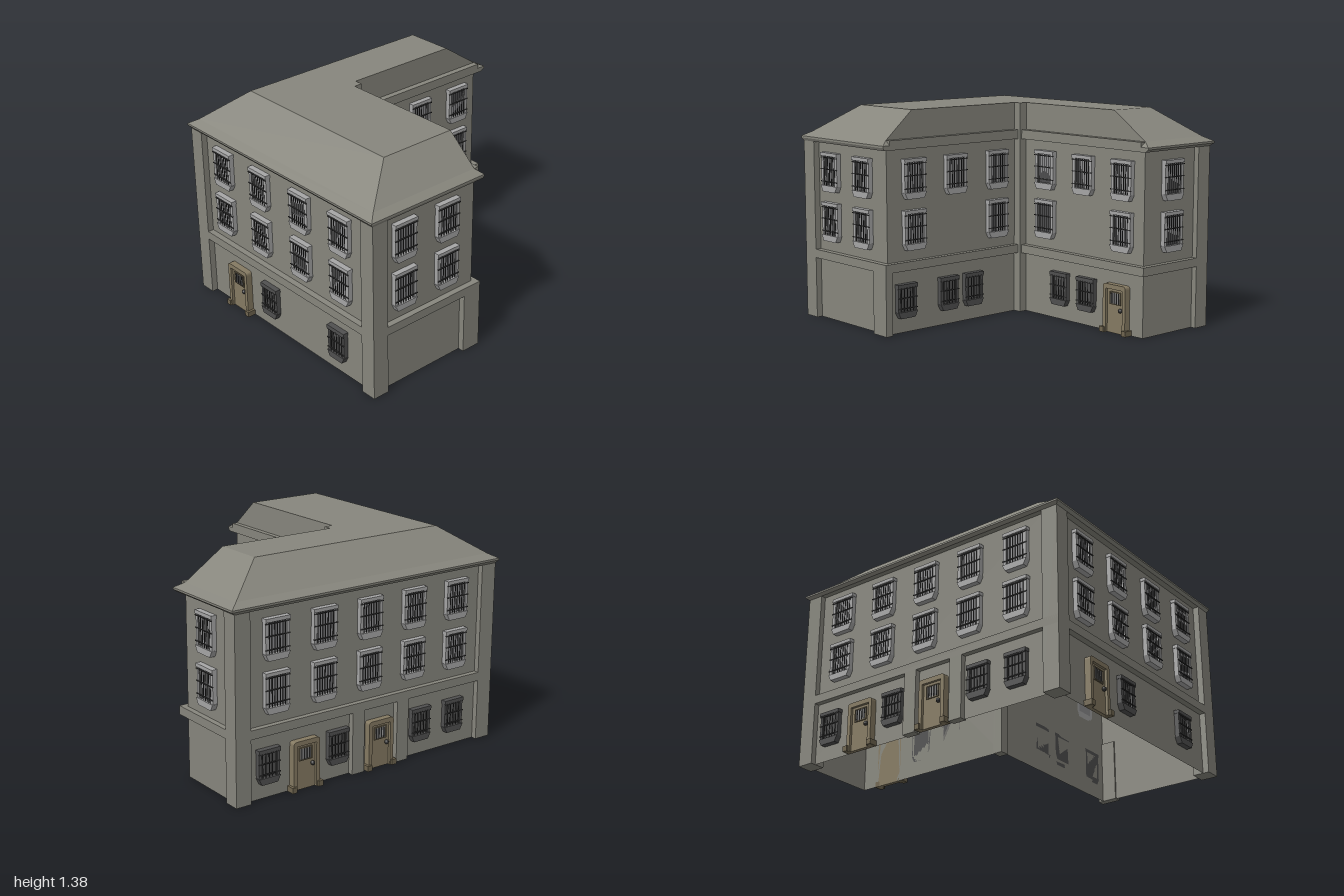
import * as THREE from 'three';

const mat = (color, side = THREE.FrontSide) => new THREE.MeshStandardMaterial({ color, side, flatShading: true });

export function createModel() {
  const model = new THREE.Group();
  const wall = mat(0x87867d, THREE.DoubleSide);
  const stone = mat(0xa6a6a6), pane = mat(0x8e8e90), iron = mat(0x3a3a3a), darkFrame = mat(0x505050);
  const wood = mat(0x857a62), woodDark = mat(0x6f654f);

  const add = (parent, name, geo, material, x = 0, y = 0, z = 0) => {
    const m = new THREE.Mesh(geo, material);
    m.name = name;
    m.position.set(x, y, z);
    parent.add(m);
    return m;
  };
  // box given by its two extreme corners
  const block = (parent, name, material, x0, x1, y0, y1, z0, z1) =>
    add(parent, name, new THREE.BoxGeometry(x1 - x0, y1 - y0, z1 - z0), material,
      (x0 + x1) / 2, (y0 + y1) / 2, (z0 + z1) / 2);

  // L-shaped outline: outer limits plus the inner notch corner
  const outline = ([x0, x1, z0, z1, nx, nz]) =>
    [[x0, z1], [nx, z1], [nx, nz], [x1, nz], [x1, z0], [x0, z0]];
  const CORE = [-0.945, 0.94, -0.815, 0.81, -0.165, -0.295];
  const BAND = [-0.985, 0.975, -0.85, 0.85, -0.13, -0.255];
  const EAVE = [-1, 1, -0.865, 0.86, -0.13, -0.255];
  const TOP = [-0.685, 0.68, -0.62, 0.61, -0.165, -0.295];

  // skin stretched over a stack of L outlines
  const loft = (name, rings) => {
    const pos = [];
    for (let r = 0; r < rings.length - 1; r++) {
      const lo = outline(rings[r][1]), hi = outline(rings[r + 1][1]);
      const yl = rings[r][0], yh = rings[r + 1][0];
      for (let i = 0; i < 6; i++) {
        const j = (i + 1) % 6;
        const a = [lo[i][0], yl, lo[i][1]], b = [lo[j][0], yl, lo[j][1]];
        const c = [hi[j][0], yh, hi[j][1]], d = [hi[i][0], yh, hi[i][1]];
        pos.push(...a, ...b, ...c, ...a, ...c, ...d);
      }
    }
    const g = new THREE.BufferGeometry();
    g.setAttribute('position', new THREE.Float32BufferAttribute(pos, 3));
    g.computeVertexNormals();
    return add(model, name, g, wall);
  };

  // Walls, string course and roof
  loft('walls', [[0, CORE], [1.2, CORE]]);
  loft('stringCourse', [[0.395, CORE], [0.395, BAND], [0.45, BAND], [0.45, CORE]]);
  loft('roof', [[1.15, CORE], [1.15, BAND], [1.168, EAVE], [1.18, EAVE], [1.21, CORE], [1.385, TOP]]);
  const flat = new THREE.ShapeGeometry(new THREE.Shape(outline(TOP).map(([x, z]) => new THREE.Vector2(x, -z))));
  flat.rotateX(-Math.PI / 2);
  add(model, 'roofTop', flat, wall, 0, 1.385, 0);
  block(model, 'courtCornice', wall, -0.165, -0.13, 1.15, 1.21, -0.255, 0.81);
  block(model, 'courtCornice', wall, -0.13, 0.94, 1.15, 1.21, -0.295, -0.255);

  // Corner piers
  block(model, 'cornerPier', wall, -0.985, -0.875, 0, 1.15, -0.85, -0.745);
  block(model, 'cornerPier', wall, -0.985, -0.875, 0, 1.15, 0.745, 0.85);
  block(model, 'cornerPier', wall, 0.87, 0.975, 0, 1.15, -0.85, -0.745);
  block(model, 'courtPier', wall, -0.17, -0.11, 0, 1.385, -0.3, -0.24);
  block(model, 'lowerPier', wall, -0.26, -0.13, 0, 0.4, 0.80, 0.85);
  for (const x of [0.09, -0.255]) block(model, 'lowerPier', wall, x - 0.045, x + 0.045, 0, 0.4, -0.85, -0.8);

  // Barred window, base at y = 0 and wall plane at z = 0
  const makeWindow = (w, h, frameMat, paneMat, bars) => {
    const g = new THREE.Group();
    const hw = w / 2, jamb = w * 0.12, sillH = 0.04;
    const sill = new THREE.Shape([[-hw, sillH], [-hw + 0.02, 0], [hw - 0.02, 0], [hw, sillH]]
      .map(p => new THREE.Vector2(...p)));
    add(g, 'sill', new THREE.ExtrudeGeometry(sill, { depth: 0.036, bevelEnabled: false }), frameMat);
    for (const s of [-1, 1])
      add(g, 'jamb', new THREE.BoxGeometry(jamb, h - sillH - 0.02, 0.03), frameMat,
        s * (hw - jamb / 2 - 0.003), (h + sillH - 0.02) / 2, 0.015);
    block(g, 'header', frameMat, -hw, hw, h - 0.022, h, 0, 0.036);
    block(g, 'pane', paneMat, -hw + jamb, hw - jamb, sillH, h - 0.02, 0, 0.01);
    const span = w - 2 * jamb;
    for (let i = 0; i < bars; i++)
      add(g, 'bar', new THREE.CylinderGeometry(0.003, 0.003, h - sillH - 0.02, 6), iron,
        -span / 2 + span * (i + 0.5) / bars, (h + sillH - 0.02) / 2, 0.027);
    for (const t of [0.12, 0.5, 0.85])
      block(g, 'crossBar', iron, -hw, hw, sillH + (h - sillH) * t - 0.003, sillH + (h - sillH) * t + 0.003, 0.028, 0.035);
    return g;
  };

  // Door with a rounded surround, barred opening, knob and foot blocks
  const makeDoor = () => {
    const g = new THREE.Group();
    const s = new THREE.Shape();
    s.moveTo(-0.095, 0).lineTo(-0.07, 0).lineTo(-0.07, 0.28).lineTo(0.07, 0.28).lineTo(0.07, 0).lineTo(0.095, 0);
    s.lineTo(0.095, 0.29).quadraticCurveTo(0.095, 0.31, 0.075, 0.31);
    s.lineTo(-0.075, 0.31).quadraticCurveTo(-0.095, 0.31, -0.095, 0.29);
    add(g, 'doorFrame', new THREE.ExtrudeGeometry(s, { depth: 0.042, bevelEnabled: false, curveSegments: 4 }), wood);
    block(g, 'doorLeaf', wood, -0.07, 0.07, 0, 0.28, 0, 0.025);
    block(g, 'doorOpening', stone, -0.04, 0.04, 0.185, 0.26, 0.02, 0.028);
    for (const y of [0.182, 0.257]) block(g, 'openingTrim', woodDark, -0.046, 0.046, y, y + 0.006, 0.02, 0.033);
    for (const x of [-0.046, 0.04]) block(g, 'openingTrim', woodDark, x, x + 0.006, 0.182, 0.263, 0.02, 0.033);
    for (let i = -1.5; i < 2; i++) block(g, 'doorBar', iron, i * 0.019 - 0.003, i * 0.019 + 0.003, 0.187, 0.258, 0.028, 0.033);
    add(g, 'knob', new THREE.SphereGeometry(0.014, 12, 8), iron, 0.048, 0.152, 0.034);
    for (const x of [-0.095, 0.095]) block(g, 'footBlock', woodDark, x - 0.017, x + 0.017, 0, 0.034, 0, 0.055);
    return g;
  };

  // Stand a part on a wall; u is the position along that wall
  const faces = {
    front: [0, u => [u, 0.81]], court: [0, u => [u, -0.295]], back: [Math.PI, u => [u, -0.815]],
    courtSide: [Math.PI / 2, u => [-0.165, u]], end: [Math.PI / 2, u => [0.94, u]],
    west: [-Math.PI / 2, u => [-0.945, u]],
  };
  const place = (part, name, face, u, y) => {
    const [rot, at] = faces[face];
    const [x, z] = at(u);
    part.name = name;
    part.position.set(x, y, z);
    part.rotation.y = rot;
    model.add(part);
  };

  // Upper storeys: [face, top row, middle row]
  const back = [-0.68, -0.34, 0, 0.34, 0.68], west = [-0.56, -0.2, 0.18, 0.54];
  const upper = [
    ['front', [-0.725, -0.39], [-0.725, -0.39]],
    ['court', [0.09, 0.435, 0.77], [0.09, 0.77]],
    ['courtSide', [0.61, 0.275, -0.075], [0.61, -0.075]],
    ['end', [-0.53], [-0.53]],
    ['back', back, back],
    ['west', west, west],
  ];
  for (const [face, top, mid] of upper) {
    for (const u of top) place(makeWindow(0.172, 0.25, stone, pane, 7), 'upperWindow', face, u, 0.838);
    for (const u of mid) place(makeWindow(0.172, 0.25, stone, pane, 7), 'middleWindow', face, u, 0.518);
  }

  // Ground floor: [face, windows, doors]
  const lower = [
    ['court', [0.23, 0.47], [0.735]],
    ['courtSide', [0.68, 0.34, 0.135], []],
    ['back', [0.74, 0.235, -0.41, -0.68], [0.48, -0.083]],
    ['west', [-0.14, 0.5], [-0.45]],
  ];
  for (const [face, windows, doors] of lower) {
    for (const u of windows) place(makeWindow(0.152, 0.215, darkFrame, darkFrame, 5), 'groundWindow', face, u, 0.097);
    for (const u of doors) place(makeDoor(), 'door', face, u, 0);
  }
  return model;
}
